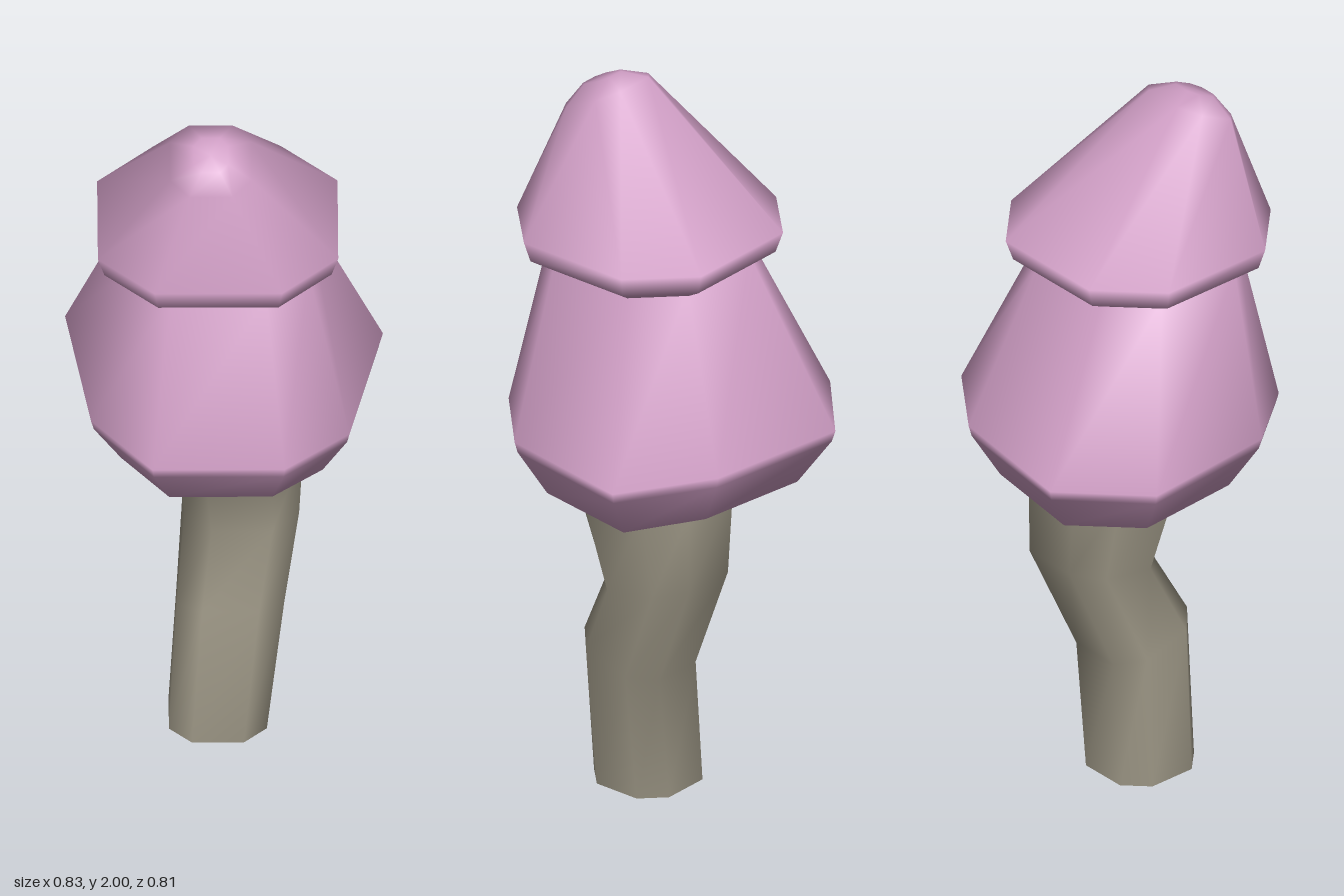
import * as THREE from 'three';

// Chamfered square outline, counter-clockwise from above, starting front left
const C = 0.53;
const OCT = [[-C, 1], [C, 1], [1, C], [1, -C], [C, -1], [-C, -1], [-1, -C], [-1, C]];

// Eight-sided ring: centre, half widths and a tilt along z
function ring(cx, cy, cz, hx, hz = hx, tilt = 0) {
  return OCT.map(([x, z]) => new THREE.Vector3(cx + x * hx, cy + z * hz * tilt, cz + z * hz));
}

// Smooth skin over rings listed from bottom to top, with closed ends
function loft(name, rings, material, flatEnds = false) {
  const pos = [], index = [], n = 8;
  const addRing = (r) => {
    const start = pos.length / 3;
    r.forEach((p) => pos.push(p.x, p.y, p.z));
    return start;
  };
  const starts = rings.map(addRing);
  for (let k = 0; k < rings.length - 1; k++) {
    for (let i = 0; i < n; i++) {
      const j = (i + 1) % n, a = starts[k], b = starts[k + 1];
      index.push(a + i, a + j, b + j, a + i, b + j, b + i);
    }
  }
  [0, rings.length - 1].forEach((k, end) => {
    const s = flatEnds ? addRing(rings[k]) : starts[k];
    const c = rings[k].reduce((m, p) => m.add(p), new THREE.Vector3()).divideScalar(n);
    const ci = pos.length / 3;
    pos.push(c.x, c.y, c.z);
    for (let i = 0; i < n; i++) {
      const j = (i + 1) % n;
      if (end) index.push(ci, s + i, s + j);
      else index.push(ci, s + j, s + i);
    }
  });
  const g = new THREE.BufferGeometry();
  g.setAttribute('position', new THREE.Float32BufferAttribute(pos, 3));
  g.setIndex(index);
  g.computeVertexNormals();
  const mesh = new THREE.Mesh(g, material);
  mesh.name = name;
  return mesh;
}

export function createModel() {
  const group = new THREE.Group();
  group.name = 'tree';
  const bark = new THREE.MeshStandardMaterial({ color: 0x9c9685 });
  const foliage = new THREE.MeshStandardMaterial({ color: 0xd19fc6 });

  // Crooked trunk
  group.add(loft('trunk', [
    ring(-0.018, 0, 0.072, 0.128),
    ring(0.015, 0.393, 0.072, 0.14, 0.127, 0.3),
    ring(0.045, 0.645, -0.043, 0.15, 0.143, -0.175),
    ring(0.037, 0.9, 0.01, 0.168, 0.198),
  ], bark, true));

  // Lower foliage: an uneven rim that tucks in below and tapers upward
  const rim = [
    [-0.19, 1.06, 0.403], [0.155, 1.06, 0.403], [0.325, 1.05, 0.24], [0.415, 1.065, -0.17],
    [0.19, 1.08, -0.34], [-0.21, 1.085, -0.405], [-0.415, 1.09, -0.215], [-0.35, 1.07, 0.205],
  ].map((p) => new THREE.Vector3(...p));
  const tuck = (scale, y) => rim.map((p) =>
    new THREE.Vector3(0.01 + (p.x - 0.01) * scale, y(p.y), p.z * scale));
  group.add(loft('lowerFoliage', [
    tuck(0.48, () => 0.875),
    tuck(0.78, (y) => y - 0.158),
    tuck(0.98, (y) => y - 0.03),
    rim,
    ring(-0.018, 1.55, 0.068, 0.236),
  ], foliage));

  // Upper foliage: a leaning cap with a tilted, rounded tip
  group.add(loft('upperFoliage', [
    ring(-0.018, 1.53, 0.068, 0.242),
    ring(-0.018, 1.567, 0.067, 0.297),
    ring(-0.018, 1.625, 0.066, 0.314),
    ring(-0.037, 1.945, 0.228, 0.107, 0.093, -0.5),
    ring(-0.037, 1.978, 0.245, 0.045, 0.045, -0.5),
  ], foliage));

  return group;
}
